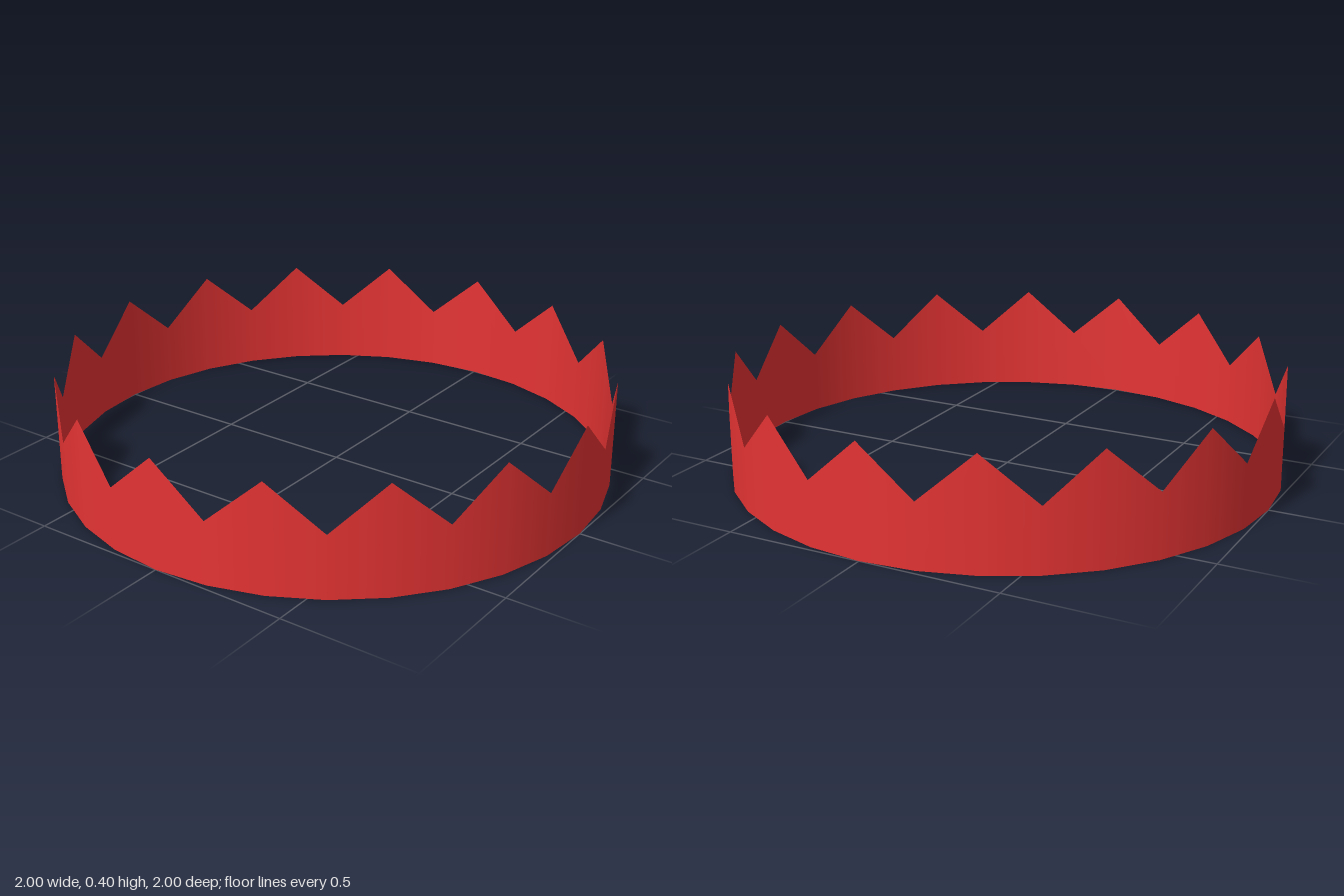
import * as THREE from 'three';

const TEETH = 16;
const PEAK = 0.4;
const VALLEY = 0.23;

// Thin open ring whose top rim alternates between peaks and valleys
function zigzagBand() {
  const sides = TEETH * 2;
  const geometry = new THREE.CylinderGeometry(1, 1, PEAK, sides, 1, true);
  geometry.translate(0, PEAK / 2, 0);
  const position = geometry.attributes.position;
  // The first row of vertices is the top rim; lower every second one
  for (let i = 1; i <= sides; i += 2) position.setY(i, VALLEY);
  return geometry;
}

export function createModel() {
  const model = new THREE.Group();
  model.name = 'crown';
  const red = new THREE.MeshStandardMaterial({ color: 0xe53333, side: THREE.DoubleSide });
  const band = new THREE.Mesh(zigzagBand(), red);
  band.name = 'toothedBand';
  model.add(band);
  return model;
}
